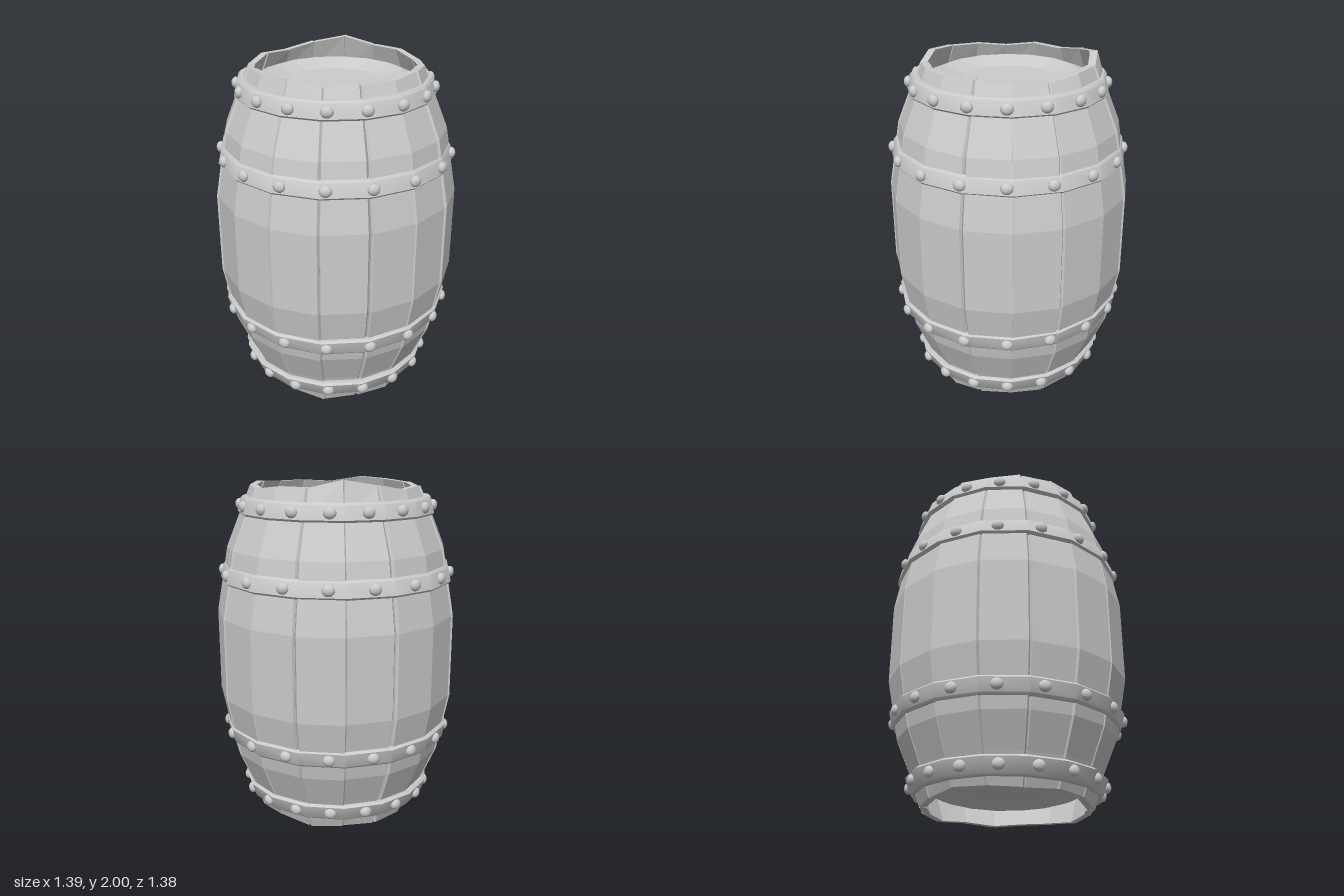
import * as THREE from 'three';
import { toCreasedNormals } from 'three/addons/utils/BufferGeometryUtils.js';

const STAVES = 16, RIVETS = 17;
const STEP = (Math.PI * 2) / STAVES;
const HALF = Math.tan(STEP / 2);
const CORNER = 1 / Math.cos(STEP / 2);

// Uneven ends, given at the joints between staves
const TOPS = [1.95, 1.95, 1.96, 1.95, 1.94, 1.96, 1.96, 2.0, 1.97, 1.94, 1.95, 1.93, 1.95, 1.96, 1.97, 1.94];
const BOTTOMS = [0.02, 0.01, 0.03, 0.04, 0.03, 0.04, 0.02, 0.03, 0.02, 0.03, 0.05, 0.04, 0.03, 0.04, 0.03, 0.0];

// Outer barrel profile between the ends: [y, radius]
const PROFILE = [[0.2, 0.54], [0.39, 0.62], [0.74, 0.687], [1.22, 0.687], [1.6, 0.62], [1.8, 0.54]];

function seeded(seed) {
  return () => {
    seed = (seed * 16807) % 2147483647;
    return seed / 2147483647;
  };
}

// One wedge-shaped plank centred on +z; the narrower outer face leaves a groove at each joint
function staveGeometry(bottomL, bottomR, topL, topR, jitter, gap) {
  const rows = [[bottomL, bottomR, 0.48], ...PROFILE.map(([y, r]) => [y, y, r]), [topL, topR, 0.48]];
  const pos = [], index = [];
  for (const [yL, yR, radius] of rows) {
    const r = radius + jitter, inner = r - 0.04;
    const w = r * HALF * gap, bevel = w + 0.007, wi = inner * HALF * 1.01;
    pos.push(-wi, yL, inner, -bevel, yL, r - 0.016, -w, yL, r,
      w, yR, r, bevel, yR, r - 0.016, wi, yR, inner);
  }
  const n = 6, last = (rows.length - 1) * n;
  for (let i = 0; i < rows.length - 1; i++) {
    for (let j = 0; j < n; j++) {
      const a = i * n + j, b = i * n + ((j + 1) % n);
      index.push(a, b, b + n, a, b + n, a + n);
    }
  }
  for (let j = 1; j < n - 1; j++) {
    index.push(0, j + 1, j, last, last + j, last + j + 1);
  }
  const g = new THREE.BufferGeometry();
  g.setAttribute('position', new THREE.Float32BufferAttribute(pos, 3));
  g.setIndex(index);
  g.computeVertexNormals();
  return g;
}

// Faceted ring with bevelled edges; r0 and r1 are the outer radii at its lower and upper edge
function bandGeometry(r0, r1, h) {
  const t = 0.04, b = 0.012;
  const pts = [
    [r0 - t, -h], [r0 - b, -h], [r0, -h + b], [r1, h - b], [r1 - b, h], [r1 - t, h], [r0 - t, -h],
  ].map(([r, y]) => new THREE.Vector2(r * CORNER, y));
  return toCreasedNormals(new THREE.LatheGeometry(pts, STAVES, STEP / 2), 0.6);
}

export function createModel() {
  const model = new THREE.Group();
  model.name = 'barrel';
  const flat = new THREE.MeshStandardMaterial({ color: 0xcccccc, flatShading: true });
  const smooth = new THREE.MeshStandardMaterial({ color: 0xcccccc });
  const rand = seeded(77);

  // Staves
  const staves = new THREE.Group();
  staves.name = 'staves';
  for (let i = 0; i < STAVES; i++) {
    const l = (i + STAVES - 1) % STAVES;
    const g = staveGeometry(BOTTOMS[l], BOTTOMS[i], TOPS[l], TOPS[i],
      (rand() - 0.5) * 0.014, 0.93 + rand() * 0.03);
    const stave = new THREE.Mesh(g, flat);
    stave.name = 'stave';
    stave.rotation.y = i * STEP + (rand() - 0.5) * 0.02;
    staves.add(stave);
  }
  model.add(staves);

  // Dished heads, recessed inside both rims
  const headPoints = [[0.475, -0.03], [0.46, -0.015], [0.395, 0.01], [0.27, -0.03], [0, -0.035]]
    .map(([r, y]) => new THREE.Vector2(r, y));
  const headGeometry = new THREE.LatheGeometry(headPoints, STAVES, STEP / 2);
  for (const [name, y, turn] of [['topHead', 1.88, 0], ['bottomHead', 0.12, Math.PI]]) {
    const head = new THREE.Mesh(headGeometry, flat);
    head.name = name;
    head.position.y = y;
    head.rotation.x = turn;
    model.add(head);
  }

  // Bands with their rivets: height, lower radius, upper radius, small tilts
  const rivetGeometry = new THREE.SphereGeometry(1, 12, 8);
  const bands = [
    ['bottomBand', 0.135, 0.535, 0.56, 0.015, 0.01],
    ['lowerBand', 0.512, 0.653, 0.668, 0.015, 0.005],
    ['upperBand', 1.46, 0.668, 0.65, 0, 0],
    ['topBand', 1.84, 0.56, 0.54, 0, 0],
  ];
  for (const [name, y, r0, r1, tiltX, tiltZ] of bands) {
    const group = new THREE.Group();
    group.name = name;
    group.position.y = y;
    group.rotation.set(tiltX, 0, tiltZ);
    const hoop = new THREE.Mesh(bandGeometry(r0, r1, 0.05), smooth);
    hoop.name = 'hoop';
    group.add(hoop);
    for (let i = 0; i < RIVETS; i++) {
      const a = -0.15 + (i * Math.PI * 2) / RIVETS;
      // Distance to the flat side of the hoop in this direction
      const off = a - Math.round(a / STEP) * STEP;
      const r = (r0 + r1) / 2 / Math.cos(off) + 0.004;
      const rivet = new THREE.Mesh(rivetGeometry, smooth);
      rivet.name = 'rivet';
      rivet.position.set(Math.sin(a) * r, 0, Math.cos(a) * r);
      rivet.rotation.y = a;
      rivet.scale.set(0.035, 0.032, 0.024);
      group.add(rivet);
    }
    model.add(group);
  }
  return model;
}
